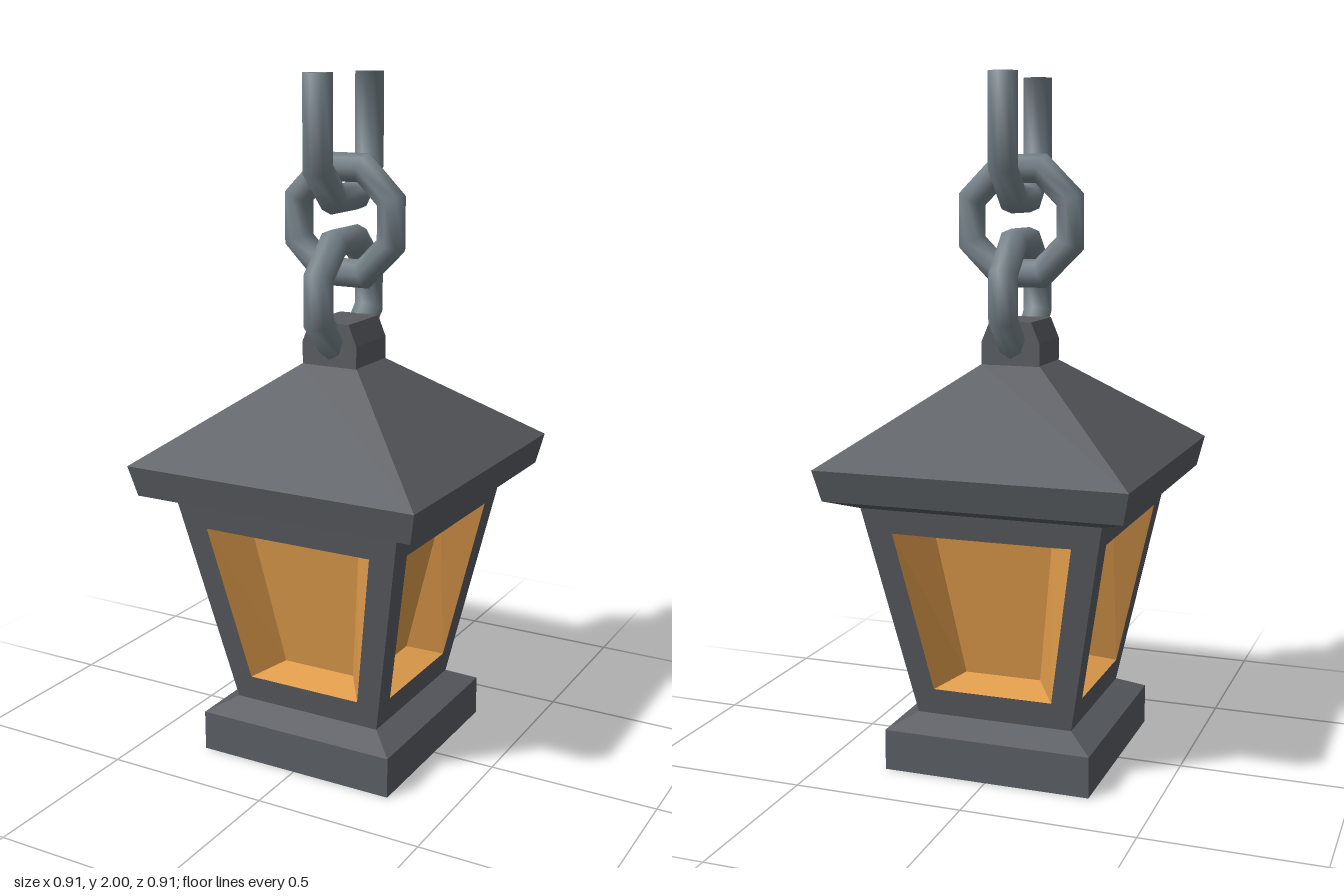
import * as THREE from 'three';

const iron = new THREE.MeshStandardMaterial({ color: 0x595c61, flatShading: true });
iron.name = 'dark iron';
const steel = new THREE.MeshStandardMaterial({ color: 0x76838a, side: THREE.DoubleSide });
steel.name = 'chain steel';
const amber = new THREE.MeshStandardMaterial({ color: 0xe09c4c, flatShading: true });
amber.name = 'amber glass';

function part(name, geometry, material) {
  const mesh = new THREE.Mesh(geometry, material);
  mesh.name = name;
  return mesh;
}

// Square turned profile from [half width, y] pairs, bottom to top
function squareLathe(profile) {
  const pts = profile.map(([h, y]) => new THREE.Vector2(h * Math.SQRT2, y));
  return new THREE.LatheGeometry(pts, 4, Math.PI / 4);
}

// Body wall leans outward with height
const LOW = 0.16, HIGH = 0.79, H0 = 0.235, H1 = 0.355;
const wallZ = (y) => H0 + (y - LOW) * (H1 - H0) / (HIGH - LOW);

// Four corners of a trapezoid lying parallel to the wall, set back by depth
function trapezoid(y0, h0, y1, h1, depth = 0) {
  const z0 = wallZ(y0) - depth, z1 = wallZ(y1) - depth;
  return [[-h0, y0, z0], [h0, y0, z0], [h1, y1, z1], [-h1, y1, z1]];
}

function facesFrom(quads) {
  const pos = [];
  for (const [a, b, c, d] of quads) pos.push(...a, ...b, ...c, ...a, ...c, ...d);
  const g = new THREE.BufferGeometry();
  g.setAttribute('position', new THREE.Float32BufferAttribute(pos, 3));
  g.computeVertexNormals();
  return g;
}

// Quads joining an outer loop to an inner loop
function ring(outer, inner) {
  return outer.map((p, i) => {
    const j = (i + 1) % 4;
    return [p, outer[j], inner[j], inner[i]];
  });
}

const LINK_R = 0.162, WIRE_R = 0.0445;

// Eight-sided chain link in the xy plane
function linkGeometry() {
  return new THREE.TorusGeometry(LINK_R, WIRE_R, 8, 8).rotateZ(Math.PI / 8);
}

// Lower half of a link with straight open ends reaching up to height top
function openLinkGeometry(top) {
  const g = new THREE.TorusGeometry(LINK_R, WIRE_R, 8, 5, Math.PI * 1.25);
  g.rotateZ(Math.PI * 0.875);
  const p = g.attributes.position;
  for (let j = 0; j <= 8; j++) {
    for (const end of [0, 5]) p.setY(j * 6 + end, top);
  }
  return g;
}

export function createModel() {
  const model = new THREE.Group();
  model.name = 'hanging lantern';

  // Plinth and roof
  model.add(part('base', squareLathe([[0, 0], [0.31, 0], [0.31, 0.12], [H0, LOW], [0, LOW]]), iron));
  model.add(part('roof', squareLathe([
    [0, HIGH], [H1, HIGH], [0.435, 0.82], [0.455, 0.91], [0.088, 1.18], [0, 1.18],
  ]), iron));

  // Four leaning walls with recessed windows
  const edge = trapezoid(LOW, H0, HIGH, H1);
  const opening = trapezoid(0.24, 0.18, 0.72, 0.265);
  const pane = trapezoid(0.27, 0.115, 0.69, 0.175, 0.1);
  const frameGeo = facesFrom(ring(edge, opening));
  const windowGeo = facesFrom([...ring(opening, pane), pane]);
  for (let i = 0; i < 4; i++) {
    const wall = new THREE.Group();
    wall.name = 'wall' + (i + 1);
    wall.add(part('windowFrame', frameGeo, iron), part('window', windowGeo, amber));
    wall.rotation.y = i * Math.PI / 2;
    model.add(wall);
  }

  // Chamfered block on top of the roof
  const s = new THREE.Shape([
    [-0.088, 1.17], [0.088, 1.17], [0.088, 1.245], [0.063, 1.305], [-0.063, 1.305], [-0.088, 1.245],
  ].map(([x, y]) => new THREE.Vector2(x, y)));
  const block = new THREE.ExtrudeGeometry(s, { depth: 0.18, bevelEnabled: false });
  block.translate(0, 0, -0.09);
  model.add(part('hangerBlock', block, iron));

  // Chain
  const chain = new THREE.Group();
  chain.name = 'chain';
  const lower = part('lowerLink', linkGeometry(), steel);
  lower.position.y = 1.378;
  lower.rotation.y = Math.PI / 2;
  const middle = part('middleLink', linkGeometry(), steel);
  middle.position.y = 1.588;
  const upper = part('upperOpenLink', openLinkGeometry(2 - 1.802), steel);
  upper.position.y = 1.802;
  upper.rotation.y = Math.PI / 2;
  chain.add(lower, middle, upper);
  model.add(chain);

  return model;
}
